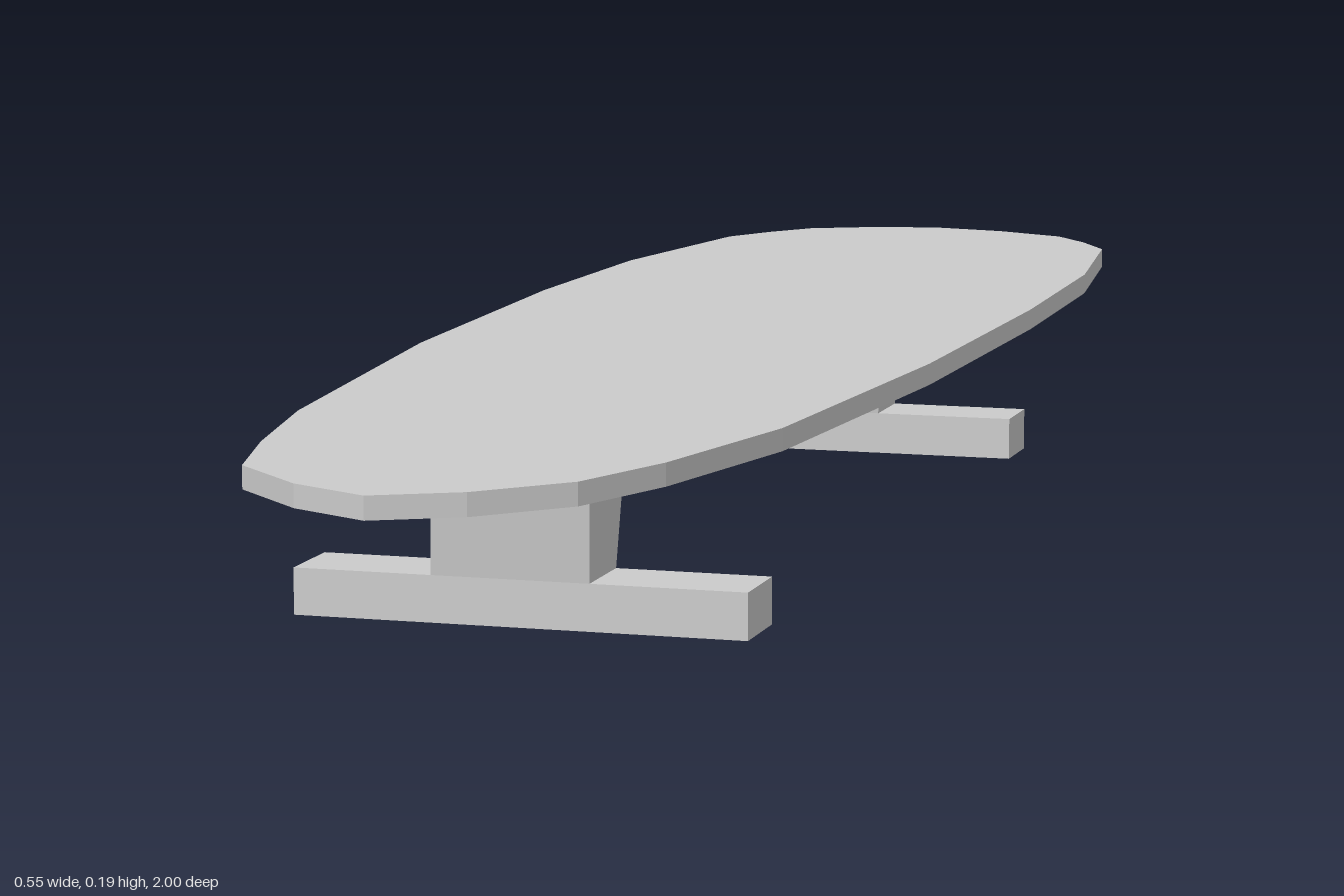
import * as THREE from 'three';

const DECK_TOP = 0.185, DECK_BOTTOM = 0.164, BAR_TOP = 0.044;

// Deck outline as [x, z], running from the tail down the +x side to the nose and back
const OUTLINE = [
  [0, -1], [0.08, -0.985], [0.16, -0.95], [0.2, -0.9], [0.235, -0.84], [0.265, -0.6],
  [0.272, -0.29], [0.265, 0.13], [0.235, 0.56], [0.19, 0.77], [0.148, 0.885], [0.076, 0.96],
  [0, 1], [-0.077, 0.96], [-0.153, 0.885], [-0.185, 0.76], [-0.218, 0.585], [-0.262, 0.13],
  [-0.273, -0.3], [-0.262, -0.58], [-0.218, -0.84], [-0.184, -0.9], [-0.147, -0.95], [-0.07, -0.988],
];

export function createModel() {
  const model = new THREE.Group();
  model.name = 'skateboard';
  const material = new THREE.MeshStandardMaterial({ color: 0xcccccc, flatShading: true });

  const add = (parent, name, geometry) => {
    const mesh = new THREE.Mesh(geometry, material);
    mesh.name = name;
    parent.add(mesh);
  };

  // Block spanning two rectangles [x0, x1, z0, z1], one at its bottom and one at its top
  const taperedBlock = (y0, y1, bottom, top) => {
    const geometry = new THREE.BoxGeometry(1, 1, 1);
    const p = geometry.attributes.position;
    for (let i = 0; i < p.count; i++) {
      const r = p.getY(i) > 0 ? top : bottom;
      p.setXYZ(i, r[p.getX(i) > 0 ? 1 : 0], p.getY(i) > 0 ? y1 : y0, r[p.getZ(i) > 0 ? 3 : 2]);
    }
    geometry.computeVertexNormals();
    return geometry;
  };

  // Flat deck
  const shape = new THREE.Shape(OUTLINE.map(([x, z]) => new THREE.Vector2(x, z)));
  const deck = new THREE.ExtrudeGeometry(shape, { depth: DECK_TOP - DECK_BOTTOM, bevelEnabled: false });
  deck.rotateX(Math.PI / 2).translate(0, DECK_TOP, 0);
  add(model, 'deck', deck);

  // Trucks: a cross bar below a pedestal that widens towards the deck
  const trucks = [
    ['frontTruck', [0.532, 0.612], [0.516, 0.625]],
    ['rearTruck', [-0.508, -0.433], [-0.527, -0.42]],
  ];
  for (const [name, barZ, topZ] of trucks) {
    const truck = new THREE.Group();
    truck.name = name;
    const bar = [-0.214, 0.218, ...barZ];
    add(truck, 'crossBar', taperedBlock(0, BAR_TOP, bar, bar));
    add(truck, 'pedestal', taperedBlock(BAR_TOP, DECK_BOTTOM, [-0.081, 0.07, ...barZ], [-0.076, 0.075, ...topZ]));
    model.add(truck);
  }
  return model;
}
